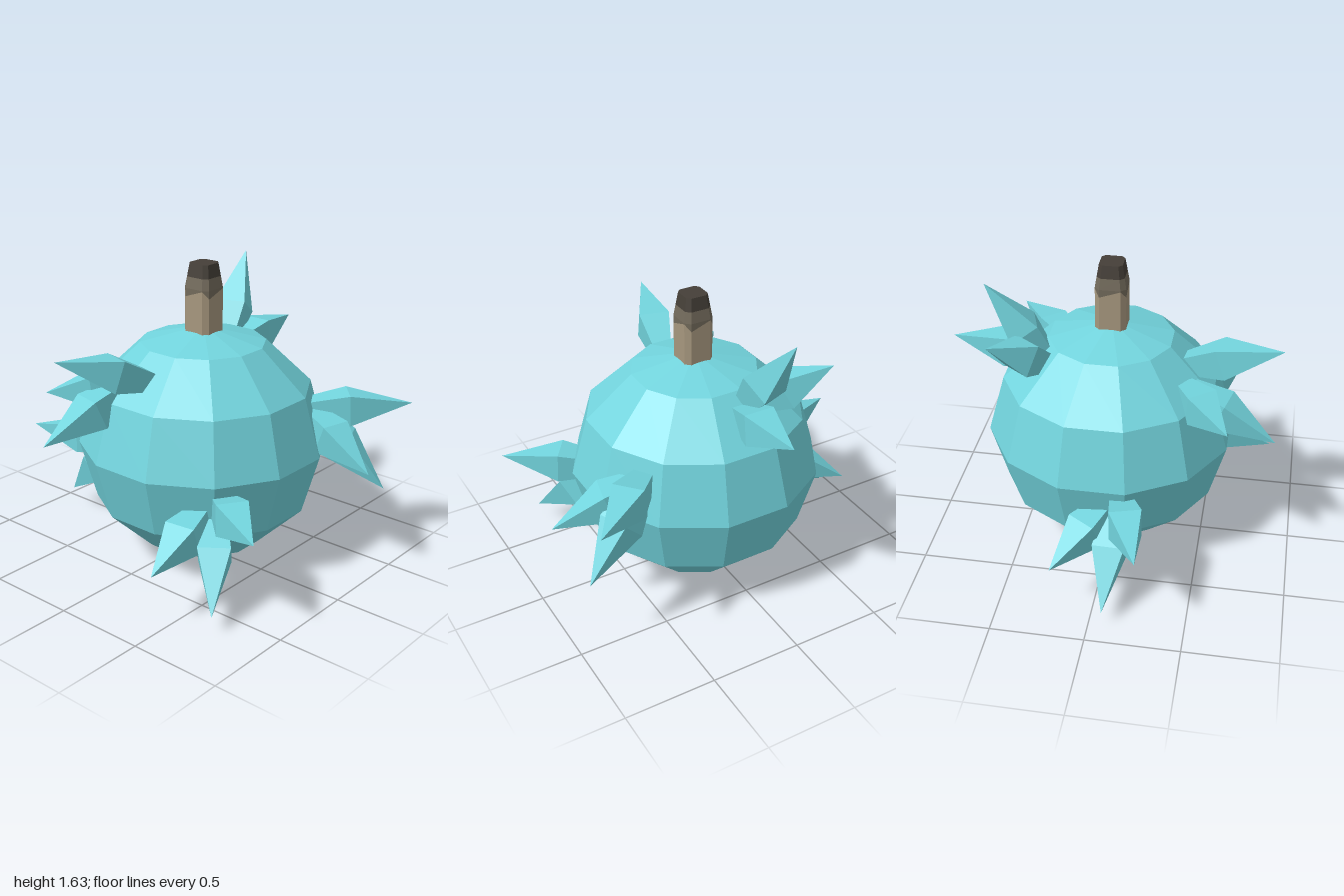
import * as THREE from 'three';

const material = (name, color) => {
  const m = new THREE.MeshStandardMaterial({ color, flatShading: true });
  m.name = name;
  return m;
};

const faceted = (geometry) => {
  const g = geometry.index ? geometry.toNonIndexed() : geometry;
  g.computeVertexNormals();
  return g;
};

// Square ring with chamfered corners; the height may alternate between its corners
function stemRing(half, yA, yB = yA) {
  const c = half * 0.68;
  const corners = [[-c, half], [c, half], [half, c], [half, -c], [c, -half], [-c, -half], [-half, -c], [-half, c]];
  return corners.map(([x, z], i) => new THREE.Vector3(x, i % 2 ? yB : yA, z));
}

// Walls between successive rings, with an optional lid
function stemSection(rings, capped) {
  const points = [];
  for (let r = 0; r < rings.length - 1; r++) {
    const lo = rings[r], hi = rings[r + 1];
    for (let i = 0; i < 8; i++) {
      const j = (i + 1) % 8;
      points.push(lo[i], lo[j], hi[j], lo[i], hi[j], hi[i]);
    }
  }
  if (capped) {
    const top = rings[rings.length - 1];
    for (let i = 1; i < 7; i++) points.push(top[0], top[i], top[i + 1]);
  }
  return faceted(new THREE.BufferGeometry().setFromPoints(points));
}

// Four-sided crystal along +z with unit length
function crystalGeometry() {
  const profile = [[0, 0], [0.07, 0], [0.12, 0.4], [0, 1]].map(([r, y]) => new THREE.Vector2(r, y));
  return faceted(new THREE.LatheGeometry(profile, 4, Math.PI / 4).rotateX(Math.PI / 2));
}

export function createModel() {
  const model = new THREE.Group();
  const teal = material('teal', 0x72d4dd);
  const tan = material('tan', 0xa6977e);
  const brown = material('greyBrown', 0x726a5b);
  const dark = material('darkBrown', 0x453f38);

  const add = (parent, name, geometry, mat) => {
    const mesh = new THREE.Mesh(geometry, mat);
    mesh.name = name;
    parent.add(mesh);
    return mesh;
  };

  // Round body
  const ball = new THREE.SphereGeometry(1, 12, 6).rotateY(Math.PI / 12).scale(0.678, 0.648, 0.678);
  add(model, 'body', faceted(ball), teal).position.set(0.03, 0.653, 0.057);

  // Stem in three colour bands
  const stem = new THREE.Group();
  stem.name = 'stem';
  stem.position.set(0.0275, 0, 0.0625);
  model.add(stem);
  const seam = stemRing(0.0825, 1.465, 1.505);
  const collar = stemRing(0.073, 1.57);
  add(stem, 'stemBase', stemSection([stemRing(0.0825, 1.25), seam]), tan);
  add(stem, 'stemMiddle', stemSection([seam, stemRing(0.0825, 1.51), collar]), brown);
  add(stem, 'stemTip', stemSection([collar, stemRing(0.062, 1.64)], true), dark);

  // Crystal clusters: [root, tip] of each crystal
  const clusters = {
    upperLeftCrystals: [
      [[0.36, 1.1, -0.05], [0.655, 1.565, -0.15]],
      [[0.38, 1.1, 0], [0.885, 1.16, 0]],
      [[0.36, 1.12, -0.12], [0.585, 1.35, -0.43]],
    ],
    upperRightCrystals: [
      [[-0.38, 1.09, 0.03], [-0.89, 1.285, -0.11]],
      [[-0.4, 1.02, -0.12], [-0.88, 0.805, -0.23]],
      [[-0.38, 1.03, -0.13], [-0.64, 0.98, -0.46]],
    ],
    lowerRightCrystals: [
      [[-0.33, 0.52, 0.47], [-0.64, 0.55, 0.93]],
      [[-0.34, 0.45, 0.46], [-0.69, 0.105, 0.72]],
      [[-0.4, 0.47, 0.42], [-0.85, 0.305, 0.47]],
    ],
    frontCrystals: [
      [[0.34, 0.85, 0.52], [0.72, 0.88, 0.95]],
      [[0.36, 0.83, 0.55], [0.51, 0.44, 0.93]],
      [[0.34, 0.83, 0.53], [0.23, 0.635, 1]],
    ],
    backCrystals: [
      [[-0.1, 0.53, -0.48], [-0.255, 0.55, -1]],
      [[-0.08, 0.47, -0.48], [-0.07, 0.1, -0.89]],
      [[-0.04, 0.48, -0.47], [0.21, 0.305, -0.84]],
    ],
  };
  const crystal = crystalGeometry();
  for (const [name, crystals] of Object.entries(clusters)) {
    const group = new THREE.Group();
    group.name = name;
    for (const [root, tip] of crystals) {
      const from = new THREE.Vector3(...root), to = new THREE.Vector3(...tip);
      const mesh = add(group, 'crystal', crystal, teal);
      mesh.position.copy(from);
      mesh.lookAt(to);
      mesh.scale.z = from.distanceTo(to);
    }
    model.add(group);
  }
  return model;
}
